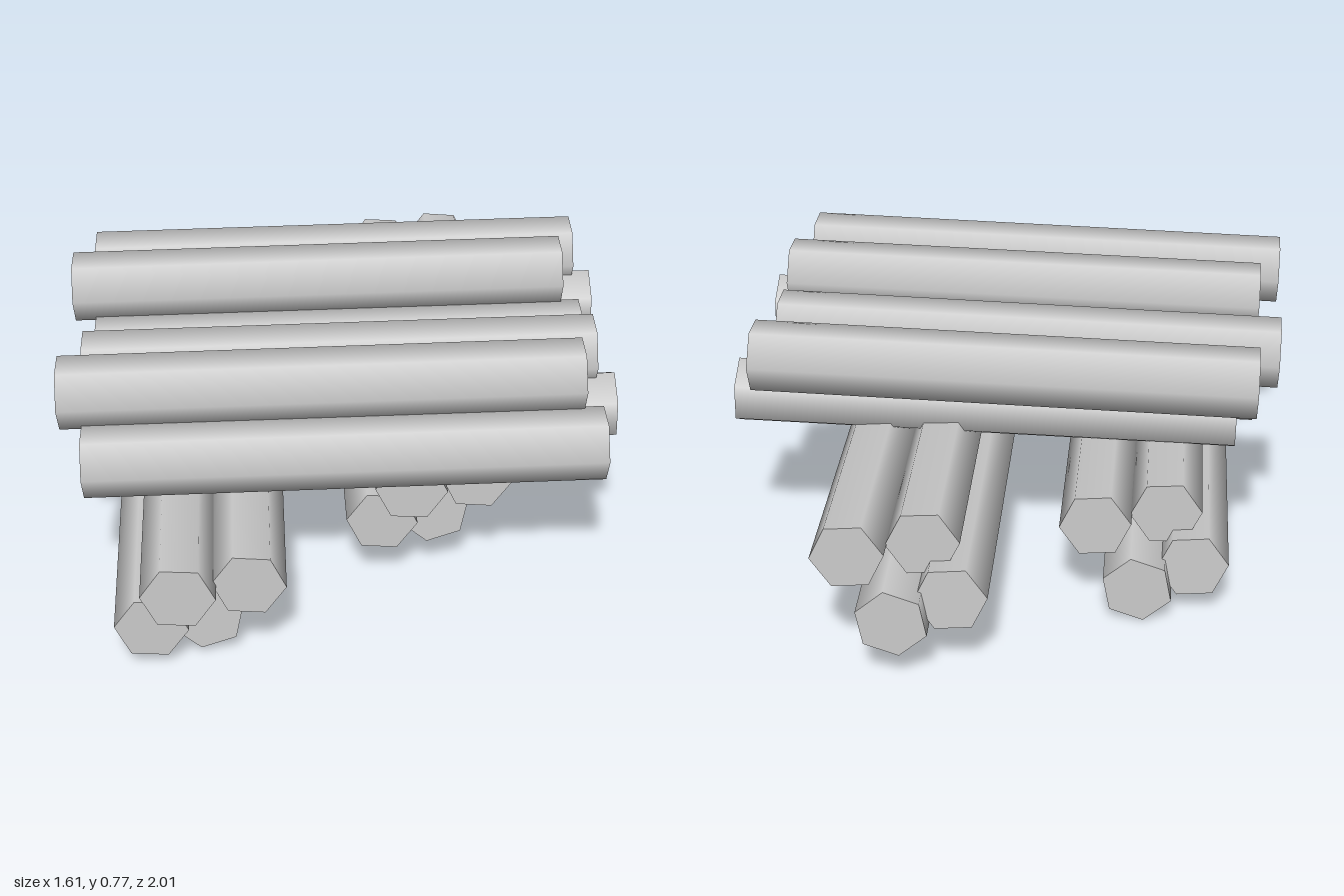
import * as THREE from 'three';

const RADIUS = 0.105;

// Six-sided log between two end centres; spin (degrees) turns it about its own axis
function makeLog(name, from, to, spin, material) {
  const a = new THREE.Vector3(...from);
  const b = new THREE.Vector3(...to);
  const start = Math.PI / 2 + THREE.MathUtils.degToRad(spin);
  const geometry = new THREE.CylinderGeometry(RADIUS, RADIUS, a.distanceTo(b), 6, 1, false, start);
  geometry.rotateX(Math.PI / 2);
  const log = new THREE.Mesh(geometry, material);
  log.name = name;
  log.position.copy(a).add(b).multiplyScalar(0.5);
  log.lookAt(b);
  return log;
}

// Four logs stacked two on two, moved as one bundle
function makeBundle(name, logs, offset, material) {
  const bundle = new THREE.Group();
  bundle.name = name;
  for (const [logName, from, to, spin] of logs) bundle.add(makeLog(logName, from, to, spin, material));
  bundle.position.set(...offset);
  return bundle;
}

// Lower layer, running back to front
const LOWER = [
  ['upperOuterLog', [-0.50, 0.297, -0.50], [-0.465, 0.29, 1.0], -4],
  ['upperInnerLog', [-0.297, 0.282, -0.565], [-0.27, 0.28, 0.93], -5],
  ['lowerOuterLog', [-0.583, 0.158, -0.56], [-0.546, 0.138, 0.935], -5],
  ['lowerInnerLog', [-0.425, 0.107, -0.62], [-0.39, 0.13, 0.88], 19],
];

// Upper layer, running across from right to left
const UPPER = [
  ['upperFrontLog', [-0.81, 0.65, 0.50], [0.69, 0.68, 0.485], 0],
  ['upperBackLog', [-0.75, 0.63, 0.328], [0.742, 0.658, 0.312], 2],
  ['lowerFrontLog', [-0.742, 0.484, 0.604], [0.75, 0.511, 0.585], 0],
  ['lowerBackLog', [-0.69, 0.489, 0.392], [0.80, 0.511, 0.375], 29],
];

export function createModel() {
  const material = new THREE.MeshStandardMaterial({ color: 0xcccccc });
  const model = new THREE.Group();
  model.name = 'logPile';
  model.add(
    makeBundle('lowerRightBundle', LOWER, [0, 0, 0], material),
    makeBundle('lowerLeftBundle', LOWER, [0.662, 0.085, -0.383], material),
    makeBundle('upperFrontBundle', UPPER, [0, 0, 0], material),
    makeBundle('upperBackBundle', UPPER, [0, 0, -0.62], material),
  );
  return model;
}
